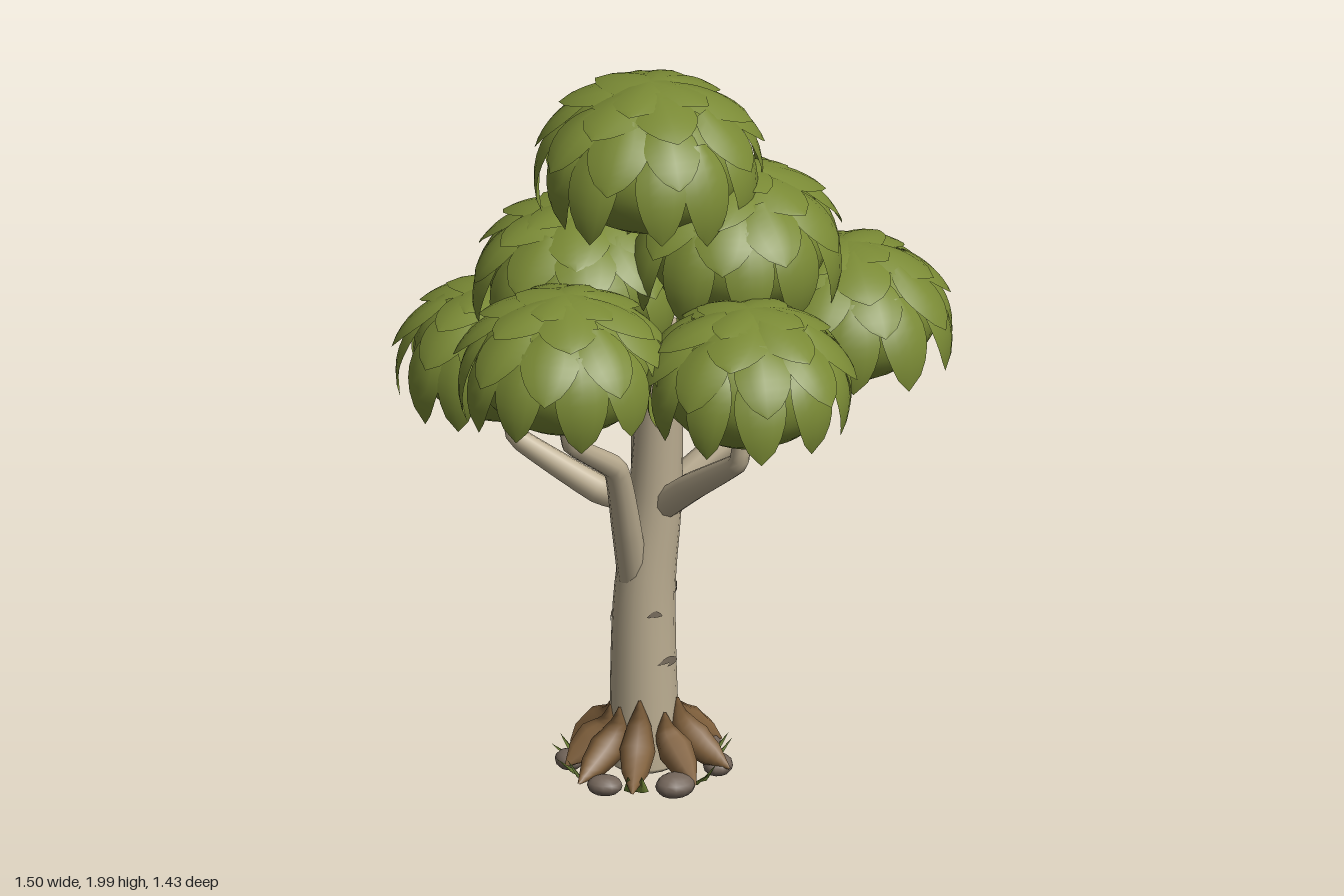
import * as THREE from 'three';
import { mergeGeometries } from 'three/addons/utils/BufferGeometryUtils.js';

const mat = (name, color, side = THREE.FrontSide) => {
  const m = new THREE.MeshStandardMaterial({ color, side });
  m.name = name;
  return m;
};
const RAD = Math.PI / 180;
const BASE = new THREE.Vector3(-0.08, 0, 0.075); // foot of the trunk

// Small seeded generator for natural variation
function seeded(seed) {
  return () => {
    seed = (seed * 16807) % 2147483647;
    return seed / 2147483647;
  };
}

// Radius at u, from evenly spaced keys
function keyed(keys, u) {
  const f = Math.min(Math.max(u, 0), 1) * (keys.length - 1);
  const i = Math.min(Math.floor(f), keys.length - 2);
  return THREE.MathUtils.lerp(keys[i], keys[i + 1], f - i);
}

// Tube along points whose radius follows the keys; low tension gives sharper bends
function taperedTube(points, radii, sides, steps, tension = 0.5) {
  const curve = new THREE.CatmullRomCurve3(points.map((p) => new THREE.Vector3(...p)), false, 'catmullrom', tension);
  const geo = new THREE.TubeGeometry(curve, steps, 1, sides);
  const pos = geo.attributes.position;
  const v = new THREE.Vector3();
  for (let i = 0; i < pos.count; i++) {
    const u = Math.floor(i / (sides + 1)) / steps;
    const c = curve.getPointAt(u);
    v.fromBufferAttribute(pos, i).sub(c).multiplyScalar(keyed(radii, u)).add(c);
    pos.setXYZ(i, v.x, v.y, v.z);
  }
  return { geo, curve };
}

// One cupped, drooping leaf lying on an ellipsoid, from elevation e0 down to e1
const CORE_R = 0.25, CORE_H = 0.19;
function leaf(azimuth, e0, e1, halfWidth, lift) {
  const geo = new THREE.PlaneGeometry(2, 1, 4, 8);
  const pos = geo.attributes.position;
  const radial = new THREE.Vector3(Math.sin(azimuth), 0, Math.cos(azimuth));
  const tangent = new THREE.Vector3(Math.cos(azimuth), 0, -Math.sin(azimuth));
  const p = new THREE.Vector3();
  for (let i = 0; i < pos.count; i++) {
    const u = pos.getX(i), t = 0.5 - pos.getY(i);
    const e = (e0 + (e1 - e0) * t) * RAD;
    const w = halfWidth * Math.pow(Math.max(0, Math.sin(Math.PI * (0.1 + 0.9 * t))), 0.62);
    const s = u * w;
    const out = 0.003 + lift * Math.pow(t, 1.5) + 0.012 * (1 - u * u) * (1 - t) - 2.4 * s * s;
    p.copy(radial).multiplyScalar((CORE_R + out) * Math.cos(e));
    p.y = (CORE_H + out) * Math.sin(e);
    p.addScaledVector(tangent, s);
    pos.setXYZ(i, p.x, p.y, p.z);
  }
  geo.computeVertexNormals();
  return geo;
}

// Rings of overlapping leaves: count, start and end elevation, half width, tip lift
const LEAF_RINGS = [
  [11, 32, -34, 0.07, 0.075],
  [9, 52, 2, 0.078, 0.05],
  [6, 76, 30, 0.082, 0.034],
  [4, 100, 54, 0.078, 0.022],
];
function leafCluster(rand) {
  const leaves = [];
  LEAF_RINGS.forEach(([n, e0, e1, w, lift], ring) => {
    for (let i = 0; i < n; i++) {
      const a = ((i + 0.5 * (ring % 2) + (rand() - 0.5) * 0.25) / n) * Math.PI * 2;
      const tilt = (rand() - 0.5) * 9;
      leaves.push(leaf(a, e0, e1 + tilt, w * (0.92 + rand() * 0.16), lift * (0.8 + rand() * 0.4)));
    }
  });
  return mergeGeometries(leaves);
}

export function createModel() {
  const model = new THREE.Group();
  model.name = 'tree';
  const rand = seeded(4211);
  const leafGreen = mat('leafGreen', 0x7a8a35, THREE.DoubleSide);
  const bark = mat('bark', 0xbcae92);
  const barkMark = mat('barkMark', 0x766b5c, THREE.DoubleSide);
  const rootBrown = mat('rootBrown', 0x80603c);
  const stone = mat('stone', 0x73655a);
  const grass = mat('grass', 0x6a7e33, THREE.DoubleSide);
  const add = (name, geo, material, parent = model) => {
    const m = new THREE.Mesh(geo, material);
    m.name = name;
    parent.add(m);
    return m;
  };

  // Trunk with a rounded foot and a closed top
  const trunkRadii = [0.095, 0.085, 0.069, 0.055];
  const trunk = taperedTube([[-0.08, 0.04, 0.075], [-0.08, 0.5, 0.075], [-0.05, 0.82, 0.07], [-0.03, 1.3, 0.08]], trunkRadii, 20, 28);
  add('trunk', trunk.geo, bark);
  const foot = add('trunkFoot', new THREE.SphereGeometry(0.095, 20, 6, 0, Math.PI * 2, Math.PI / 2, Math.PI / 2), bark);
  foot.scale.y = 0.3;
  foot.position.set(-0.08, 0.04, 0.075);
  const top = add('trunkTop', new THREE.CircleGeometry(0.055, 20), bark);
  top.position.set(-0.03, 1.3, 0.08);
  top.rotation.x = -Math.PI / 2;

  // Branches
  const branches = [
    [[-0.06, 0.78, 0.06], [-0.2, 0.8, 0.04], [-0.42, 0.92, -0.02], [-0.435, 0.98, -0.03], [-0.45, 1.1, -0.03]],
    [[-0.11, 0.58, 0.1], [-0.125, 0.75, 0.17], [-0.15, 0.95, 0.25], [-0.265, 1.08, 0.385], [-0.27, 1.24, 0.41]],
    [[-0.03, 0.78, 0.09], [0.05, 0.88, 0.2], [0.18, 1.03, 0.385], [0.19, 1.09, 0.4], [0.19, 1.2, 0.41]],
    [[-0.03, 0.79, 0.06], [0.09, 0.89, 0.01], [0.29, 1.01, -0.06], [0.34, 1.08, -0.08], [0.38, 1.2, -0.1]],
    [[-0.07, 0.56, 0.045], [-0.08, 0.8, -0.04], [-0.09, 0.98, -0.1], [-0.1, 1.07, -0.28], [-0.1, 1.24, -0.36]],
  ];
  for (const points of branches) {
    add('branch', taperedTube(points, [0.042, 0.04, 0.034, 0.027, 0.022], 10, 24, 0.2).geo, bark);
  }

  // Dark lens-shaped bark marks: angle from the front, height, half angle
  const marks = [
    [50, 0.34, 24], [22, 0.48, 15], [95, 0.53, 28], [65, 0.33, 18], [125, 0.32, 20], [88, 0.76, 26],
    [-100, 0.44, 22], [-115, 0.66, 24], [-150, 0.34, 24], [180, 0.5, 24], [215, 0.74, 24], [160, 0.62, 22],
  ];
  for (const [angle, y, half] of marks) {
    const geo = new THREE.PlaneGeometry(2, 2, 8, 1);
    const pos = geo.attributes.position;
    for (let i = 0; i < pos.count; i++) {
      const u = pos.getX(i);
      const h = y + pos.getY(i) * 0.009 * (1 - u * u) + 0.008 * (1 - u * u);
      const k = (h - 0.04) / 1.26;
      const c = trunk.curve.getPointAt(k);
      const r = keyed(trunkRadii, k) + 0.003;
      const a = (angle + u * half) * RAD;
      pos.setXYZ(i, c.x + Math.sin(a) * r, h, c.z + Math.cos(a) * r);
    }
    geo.computeVertexNormals();
    add('barkMark', geo, barkMark);
  }

  // Pointed roots spreading round the foot
  for (let i = 0; i < 9; i++) {
    const a = ((i + (rand() - 0.5) * 0.3) / 9) * Math.PI * 2;
    const reach = 0.21 + rand() * 0.04, height = 0.2 + rand() * 0.05;
    const at = (r, y) => [BASE.x + Math.sin(a) * r, y, BASE.z + Math.cos(a) * r];
    const path = [at(0.092, height), at(0.1, height * 0.72), at(0.15, 0.1), at(reach, 0.035)];
    add('root', taperedTube(path, [0.003, 0.032, 0.048, 0.036, 0.003], 8, 12).geo, rootBrown);
  }

  // Stones and grass blades between the roots
  for (let i = 0; i < 7; i++) {
    const a = ((i + 0.45 + (rand() - 0.5) * 0.4) / 7) * Math.PI * 2;
    const r = 0.18 + rand() * 0.03, size = 0.038 + rand() * 0.014;
    const s = add('stone', new THREE.SphereGeometry(1, 12, 8), stone);
    s.scale.set(size * 1.2, size * 0.7, size);
    s.position.set(BASE.x + Math.sin(a) * r, size * 0.7 + 0.004, BASE.z + Math.cos(a) * r);
    s.rotation.y = a + rand() * 0.6;
    for (let j = 0; j < 2; j++) {
      const b = a + 0.36 + j * 0.16;
      const blade = add('grassBlade', new THREE.ConeGeometry(0.018, 0.065, 4).scale(1, 1, 0.3).translate(0, 0.032, 0), grass);
      blade.position.set(BASE.x + Math.sin(b) * 0.2, 0.025, BASE.z + Math.cos(b) * 0.2);
      blade.rotation.set(0.5 + rand() * 0.6, b, 0, 'YXZ');
    }
  }

  // Foliage clusters: centre and scale
  const clusters = [
    [-0.065, 1.782, 0.06, 1.05], [0.155, 1.54, 0.045, 1.02], [-0.25, 1.42, 0.01, 1.0],
    [-0.28, 1.33, 0.42, 0.97], [0.21, 1.3, 0.425, 0.97], [0.455, 1.27, -0.11, 0.97],
    [-0.46, 1.165, -0.05, 0.97], [-0.09, 1.355, -0.42, 0.98],
  ];
  for (const [x, y, z, scale] of clusters) {
    const cluster = new THREE.Group();
    cluster.name = 'foliageCluster';
    cluster.position.set(x, y, z);
    cluster.scale.setScalar(scale);
    cluster.rotation.y = rand() * 6.28;
    add('foliageCore', new THREE.SphereGeometry(1, 28, 18).scale(CORE_R, CORE_H, CORE_R), leafGreen, cluster);
    add('leaves', leafCluster(rand), leafGreen, cluster);
    model.add(cluster);
  }
  return model;
}
